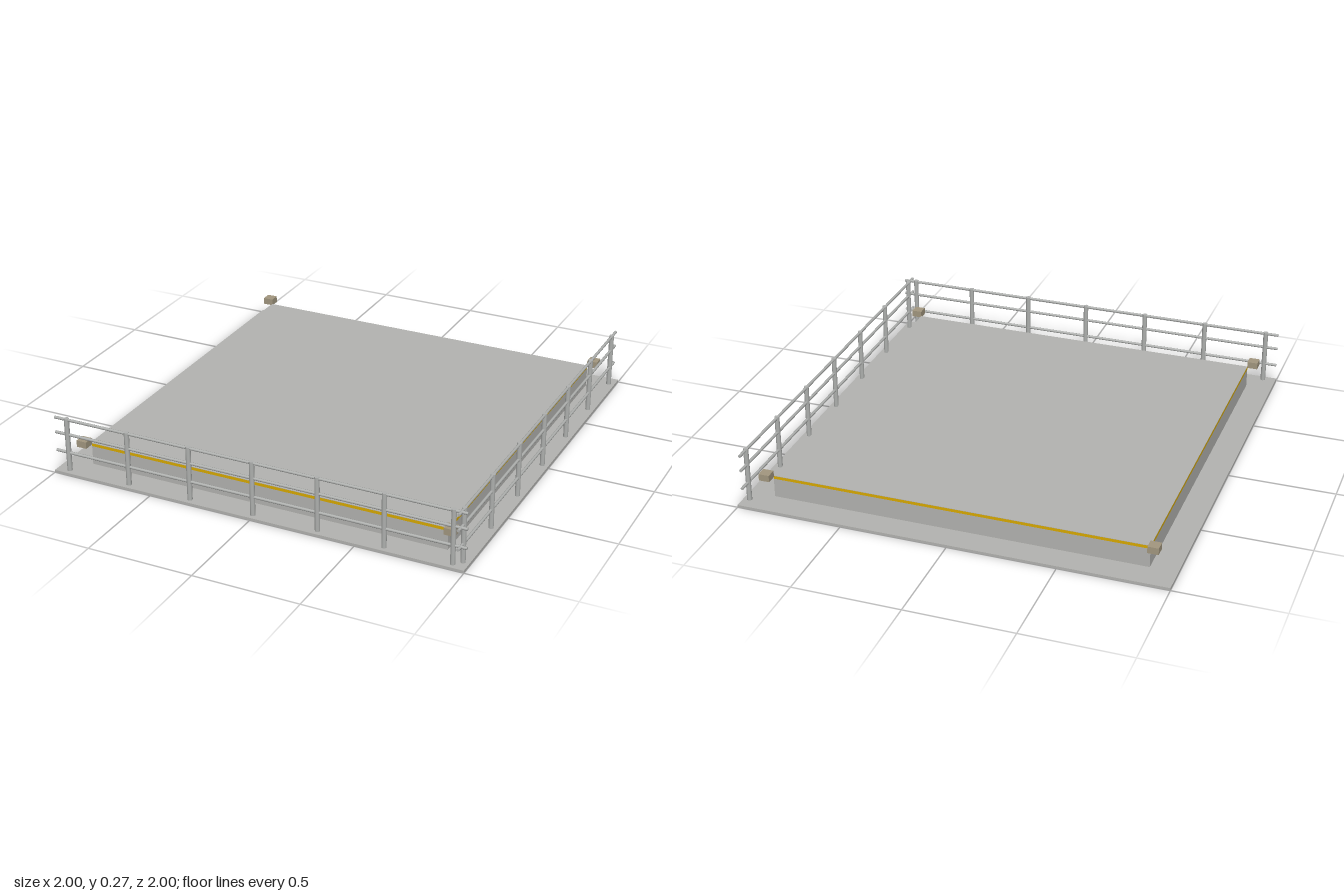
import * as THREE from 'three';

const concrete = new THREE.MeshStandardMaterial({ color: 0xb4b4b1 });
concrete.name = 'concrete grey';
const steel = new THREE.MeshStandardMaterial({ color: 0xb0b2b0 });
steel.name = 'steel grey';
const yellow = new THREE.MeshStandardMaterial({ color: 0xd9aa00 });
yellow.name = 'safety yellow';
const tan = new THREE.MeshStandardMaterial({ color: 0xa39880 });
tan.name = 'lamp tan';

function add(parent, name, geometry, material, x = 0, y = 0, z = 0) {
  const mesh = new THREE.Mesh(geometry, material);
  mesh.name = name;
  mesh.position.set(x, y, z);
  parent.add(mesh);
  return mesh;
}

// Square frame lying flat, between two heights
function squareRing(outer, inner, y0, y1) {
  const square = (r) => [[-r, -r], [r, -r], [r, r], [-r, r]].map(([x, y]) => new THREE.Vector2(x, y));
  const shape = new THREE.Shape(square(outer));
  shape.holes.push(new THREE.Path(square(inner)));
  const geometry = new THREE.ExtrudeGeometry(shape, { depth: y1 - y0, bevelEnabled: false });
  return geometry.rotateX(-Math.PI / 2).translate(0, y0, 0);
}

// Straight railing along x, with seven posts and three rails
function createRailing(name) {
  const railing = new THREE.Group();
  railing.name = name;
  const postGeometry = new THREE.CylinderGeometry(0.012, 0.012, 0.274, 8);
  const railGeometry = new THREE.CylinderGeometry(0.007, 0.007, 2, 8).rotateZ(Math.PI / 2);
  for (let i = -3; i <= 3; i++) add(railing, 'railingPost', postGeometry, steel, i * 0.3125, 0.137, 0);
  for (const y of [0.102, 0.193, 0.267]) add(railing, 'railingRail', railGeometry, steel, 0, y, 0);
  return railing;
}

export function createModel() {
  const model = new THREE.Group();
  model.name = 'landingPlatform';

  // Walkway around the raised deck
  add(model, 'walkway', squareRing(1, 0.875, 0, 0.012), concrete);

  // Raised deck: hollow underneath, with a painted edge band
  add(model, 'deckWalls', squareRing(0.875, 0.87, 0, 0.103), concrete);
  add(model, 'deckEdgeBand', squareRing(0.875, 0.87, 0.103, 0.117), yellow);
  add(model, 'deckTop', new THREE.BoxGeometry(1.75, 0.002, 1.75), concrete, 0, 0.118, 0);

  // Corner lamps
  const lampGeometry = new THREE.BoxGeometry(0.05, 0.032, 0.05);
  for (const x of [-0.899, 0.899])
    for (const z of [-0.899, 0.899]) add(model, 'cornerLamp', lampGeometry, tan, x, 0.128, z);

  // Railings on the front and left edges
  const front = createRailing('frontRailing');
  front.position.z = 0.97;
  const left = createRailing('leftRailing');
  left.rotation.y = Math.PI / 2;
  left.position.x = 0.97;
  model.add(front, left);

  return model;
}
